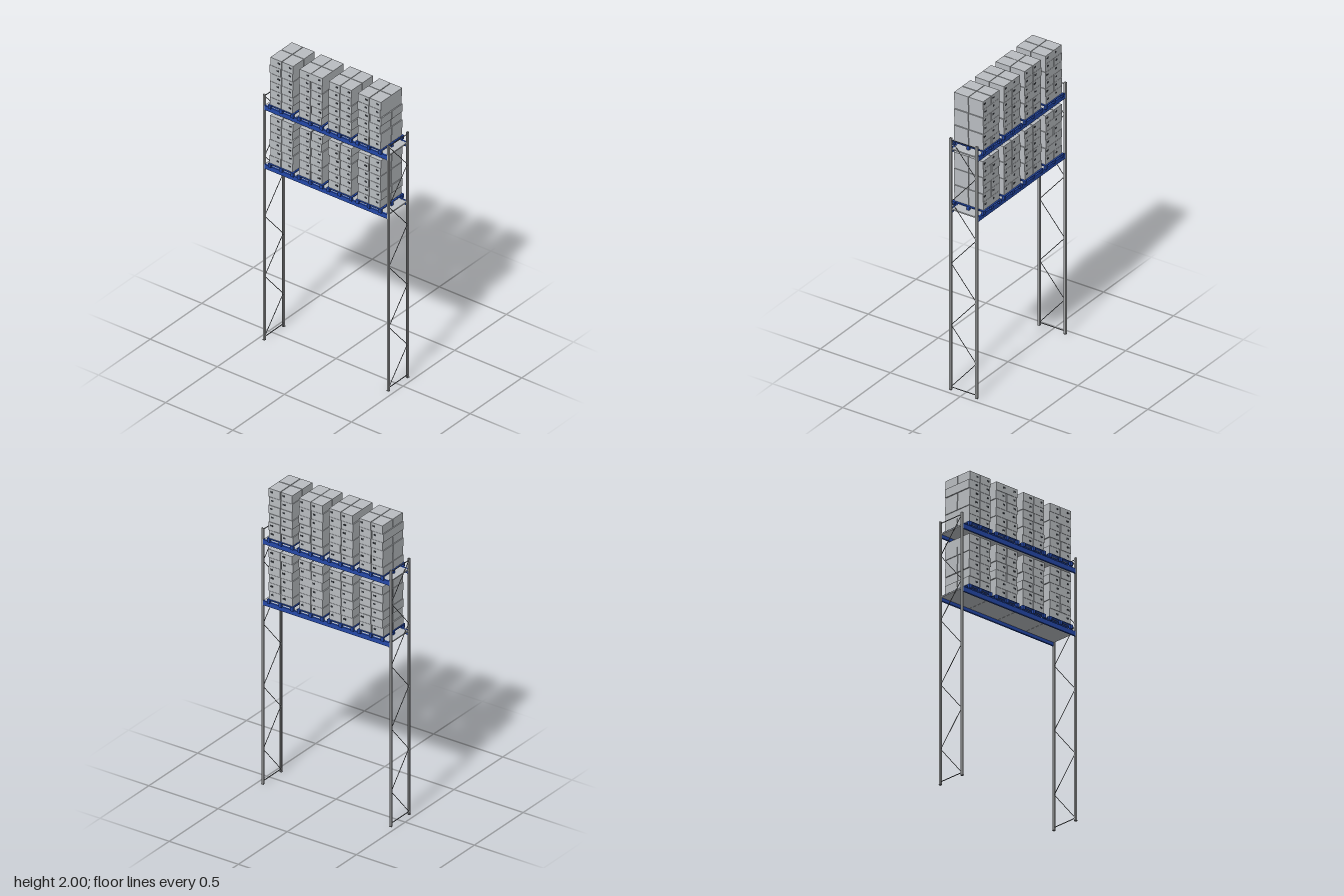
import * as THREE from 'three';

const mat = (name, color, side = THREE.FrontSide) => {
  const m = new THREE.MeshStandardMaterial({ color, side });
  m.name = name;
  return m;
};

export function createModel() {
  const steel = mat('galvanised steel', 0xa6a8a9);
  const brace = mat('dark steel', 0x6b6e72);
  const blue = mat('blue paint', 0x2448a8);
  const carton = mat('grey carton', 0xb9bdc1);
  const dark = mat('handle hole', 0x34373c);
  const model = new THREE.Group();
  model.name = 'palletRack';

  const box = (parent, name, m, w, h, d, x, y, z) => {
    const mesh = new THREE.Mesh(new THREE.BoxGeometry(w, h, d), m);
    mesh.name = name;
    mesh.position.set(x, y, z);
    parent.add(mesh);
    return mesh;
  };
  const rod = (parent, name, a, b, r) => {
    const dir = b.clone().sub(a);
    const mesh = new THREE.Mesh(new THREE.CylinderGeometry(r, r, dir.length(), 6), brace);
    mesh.name = name;
    mesh.position.copy(a).add(b).multiplyScalar(0.5);
    mesh.quaternion.setFromUnitVectors(new THREE.Vector3(0, 1, 0), dir.normalize());
    parent.add(mesh);
  };

  // End frames: channel posts, zigzag bracing and cross bars
  const POST_H = 1.715, POST_Z = 0.0935;
  for (const side of [-1, 1]) {
    const frame = new THREE.Group();
    frame.name = side < 0 ? 'rightFrame' : 'leftFrame';
    const x = side * 0.4625;
    for (const s of [-1, 1]) {
      const post = new THREE.Group();
      post.name = s > 0 ? 'frontPost' : 'rearPost';
      box(post, 'postWeb', steel, 0.013, POST_H, 0.003, x, POST_H / 2, s * (POST_Z + 0.005));
      for (const f of [-1, 1])
        box(post, 'postFlange', steel, 0.003, POST_H, 0.012, x + f * 0.005, POST_H / 2, s * (POST_Z - 0.002));
      box(post, 'footPlate', brace, 0.015, 0.004, 0.015, x, 0.002, s * POST_Z);
      frame.add(post);
    }
    const at = (i) => new THREE.Vector3(x, 0.022 + i * 0.21, i % 2 ? -0.09 : 0.09);
    for (let i = 0; i < 8; i++) rod(frame, 'diagonalBrace', at(i), at(i + 1), 0.0022);
    for (const y of [0.02, 1.703])
      rod(frame, 'crossBar', new THREE.Vector3(x, y, -0.09), new THREE.Vector3(x, y, 0.09), 0.003);
    model.add(frame);
  }

  // Pallet: nine blocks, bearer boards and a thin deck
  const makePallet = () => {
    const pallet = new THREE.Group();
    pallet.name = 'pallet';
    for (const bx of [-0.084, 0, 0.084])
      for (const bz of [-0.105, 0, 0.105])
        box(pallet, 'palletBlock', blue, 0.02, 0.022, 0.015, bx, 0.011, bz);
    for (let i = 0; i < 7; i++)
      box(pallet, 'deckBoard', blue, 0.188, 0.004, 0.024, 0, 0.024, -0.1005 + i * 0.0335);
    for (const bx of [-0.084, 0, 0.084])
      box(pallet, 'bearerBoard', blue, 0.02, 0.003, 0.22, bx, 0.0215, 0);
    return pallet;
  };

  // Cartons: two by two columns of six, each layer nudged sideways
  const LAYER = 0.0559, BW = 0.083, BD = 0.102;
  const makeCartons = (seed) => {
    const stack = new THREE.Group();
    stack.name = 'cartonStack';
    for (let layer = 0; layer < 6; layer++)
      for (const cx of [-1, 1])
        for (const cz of [-1, 1]) {
          const c = new THREE.Group();
          c.name = 'carton';
          box(c, 'cartonBody', carton, BW, LAYER - 0.0015, BD, 0, 0, 0);
          // Handle hole on the outward face
          box(c, 'handleHole', dark, 0.018, 0.011, 0.002, BW * 0.24, 0.006, cz * BD / 2);
          const nudge = (layer % 2 ? 0.002 : -0.002) + 0.001 * Math.sin(layer * 2.3 + seed + cx);
          c.position.set(cx * 0.0437 + nudge, (layer + 0.5) * LAYER, cz * 0.0528);
          stack.add(c);
        }
    return stack;
  };

  // Storage levels: beams, deck panels and four loaded pallets
  [1.202, 1.612].forEach((y, n) => {
    const level = new THREE.Group();
    level.name = n ? 'upperLevel' : 'lowerLevel';
    for (const s of [-1, 1]) {
      box(level, 'beam', blue, 0.912, 0.03, 0.011, 0, y + 0.015, s * 0.0945);
      for (const e of [-1, 1])
        box(level, 'beamConnector', blue, 0.004, 0.034, 0.012, e * 0.454, y + 0.015, s * 0.0945);
    }
    for (let i = 0; i < 4; i++) {
      box(level, 'deckPanel', carton, 0.2285, 0.008, 0.178, (i - 1.5) * 0.23, y + 0.025, 0);
      const x = [-0.327, -0.109, 0.109, 0.327][i];
      const pallet = makePallet();
      pallet.position.set(x, y + 0.03, 0);
      const cartons = makeCartons(n * 3 + i);
      cartons.position.set(x, y + (n ? 0.0525 : 0.055) + 0.001, 0);
      if (n) cartons.position.y = 2 - 6 * LAYER + 0.0007;
      else cartons.position.y = y + 0.0565;
      level.add(pallet, cartons);
    }
    model.add(level);
  });
  return model;
}
